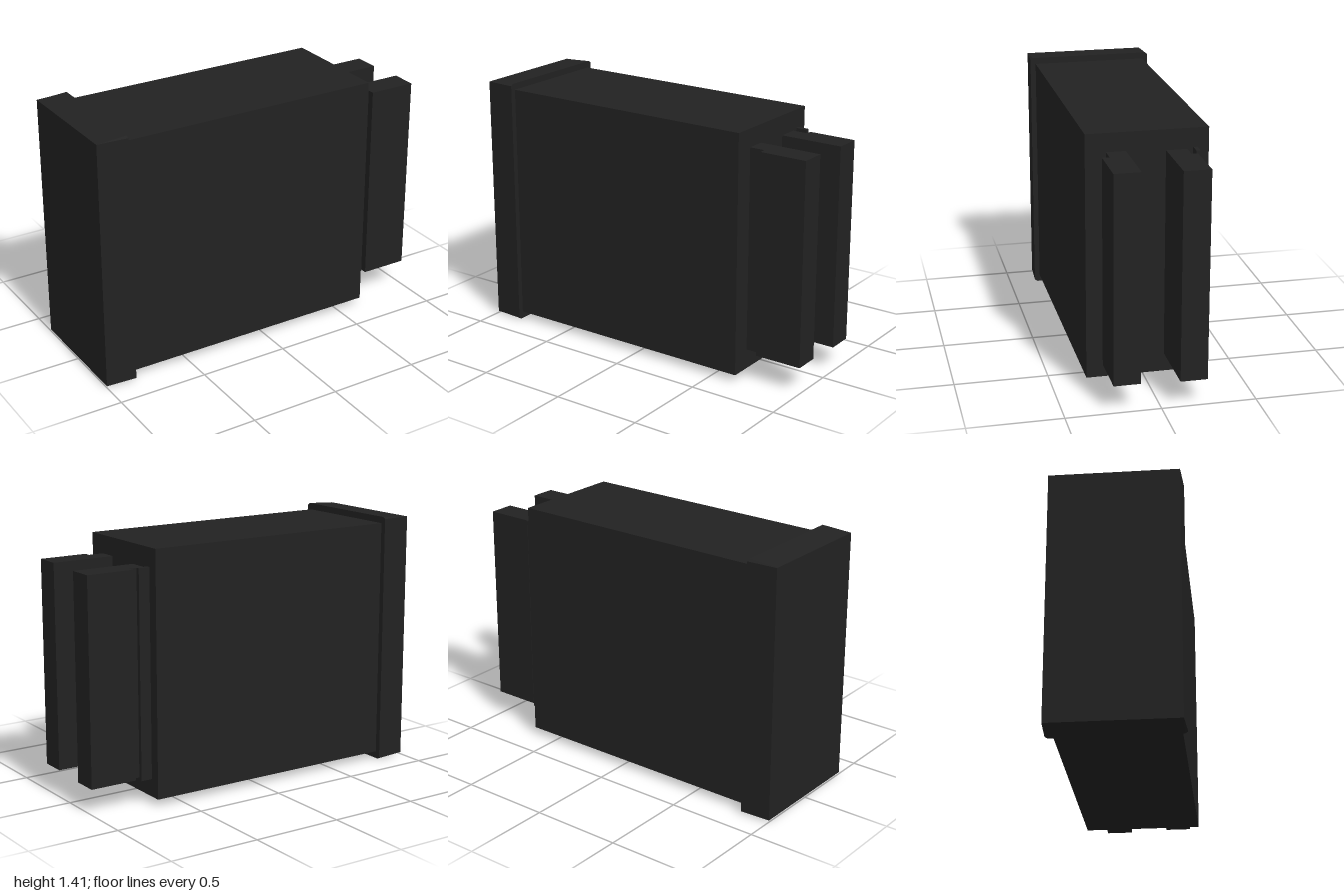
import * as THREE from 'three';

const dark = new THREE.MeshStandardMaterial({ color: 0x222222, flatShading: true });

// Box given by its limits on each axis
function block(name, [x0, x1], [y0, y1], [z0, z1]) {
  const mesh = new THREE.Mesh(new THREE.BoxGeometry(x1 - x0, y1 - y0, z1 - z0), dark);
  mesh.position.set((x0 + x1) / 2, (y0 + y1) / 2, (z0 + z1) / 2);
  mesh.name = name;
  return mesh;
}

// Front bezel: clipped corners at the rim, tapering to a plain rectangle at the face
function bezel() {
  const w = 0.35, h = 0.703, cw = 0.335, ch = 0.693;
  const outline = [[w, -ch], [w, ch], [cw, h], [-cw, h], [-w, ch], [-w, -ch], [-cw, -h], [cw, -h]];
  const shape = new THREE.Shape(outline.map(([x, y]) => new THREE.Vector2(x, y)));
  const geo = new THREE.ExtrudeGeometry(shape, { depth: 0.17, bevelEnabled: false });
  const pos = geo.attributes.position;
  for (let i = 0; i < pos.count; i++) {
    if (pos.getZ(i) < 0.1) continue;
    pos.setX(i, THREE.MathUtils.clamp(pos.getX(i), -0.34, 0.34));
    pos.setY(i, THREE.MathUtils.clamp(pos.getY(i), -ch, ch));
  }
  geo.rotateY(-Math.PI / 2);
  geo.computeVertexNormals();
  const mesh = new THREE.Mesh(geo, dark);
  mesh.position.set(-0.83, h, 0);
  mesh.name = 'bezel';
  return mesh;
}

export function createModel() {
  const model = new THREE.Group();
  model.name = 'panelInstrument';
  model.add(bezel());
  model.add(block('housing', [-0.84, 0.65], [0.04, 1.37], [-0.32, 0.32]));

  // Two terminal blocks, each on a narrower neck
  const terminals = [
    { side: 'front', y: [0.15, 1.27], neck: [0.11, 0.212], body: [0.11, 0.25] },
    { side: 'back', y: [0.14, 1.26], neck: [-0.207, -0.097], body: [-0.24, -0.097] },
  ];
  for (const t of terminals) {
    const group = new THREE.Group();
    group.name = t.side + 'Terminal';
    group.add(block('terminalNeck', [0.64, 0.74], t.y, t.neck));
    group.add(block('terminalBlock', [0.735, 1], t.y, t.body));
    model.add(group);
  }

  // Thin guide rib beside the back terminal
  model.add(block('guideRib', [0.64, 0.713], [0.137, 1.268], [-0.26, -0.238]));
  return model;
}
